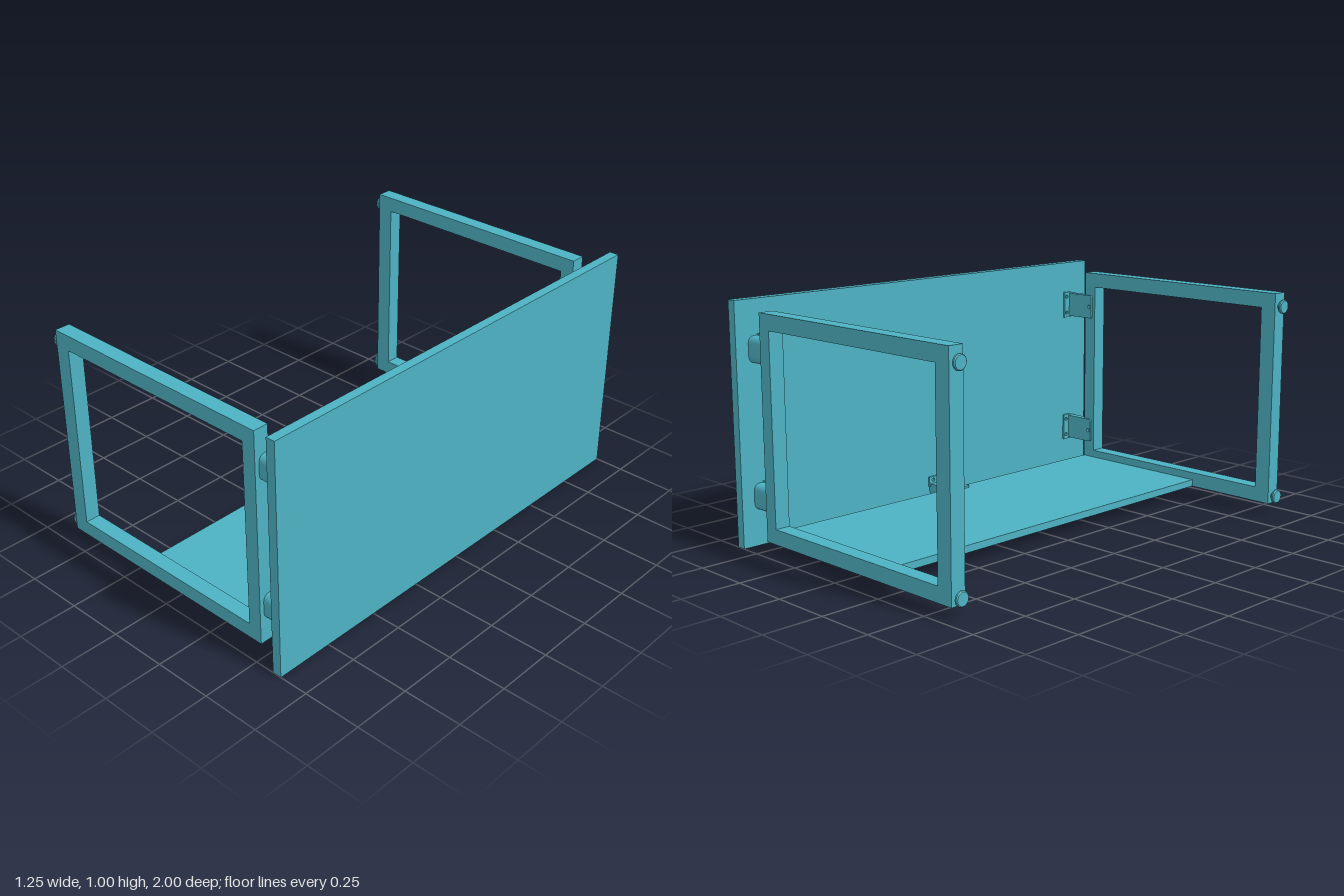
import * as THREE from 'three';

const teal = new THREE.MeshStandardMaterial({ color: 0x4db2c3 });
teal.name = 'teal';

function mesh(name, geometry, x = 0, y = 0, z = 0) {
  const m = new THREE.Mesh(geometry, teal);
  m.name = name;
  m.position.set(x, y, z);
  return m;
}

// box given by its lower and upper corners
function box(name, x0, x1, y0, y1, z0, z1) {
  return mesh(name, new THREE.BoxGeometry(x1 - x0, y1 - y0, z1 - z0),
    (x0 + x1) / 2, (y0 + y1) / 2, (z0 + z1) / 2);
}

function rectPath(path, x0, x1, y0, y1) {
  path.moveTo(x0, y0).lineTo(x1, y0).lineTo(x1, y1).lineTo(x0, y1).closePath();
  return path;
}

const extrude = (shape, depth) =>
  new THREE.ExtrudeGeometry(shape, { depth, bevelEnabled: false, curveSegments: 10 });

function roundHole(x, y, r) {
  return new THREE.Path().absarc(x, y, r, 0, Math.PI * 2, true);
}

// rectangular end frame with an open centre
function endFrame(name, z0) {
  const shape = rectPath(new THREE.Shape(), -0.6, 0.48, 0.045, 0.96);
  shape.holes.push(rectPath(new THREE.Path(), -0.53, 0.42, 0.108, 0.895));
  return mesh(name, extrude(shape, 0.065), 0, 0, z0);
}

// hinge: local y is its width, local +z points out through the held board
function hinge(name) {
  const g = new THREE.Group();
  g.name = name;
  const w = 0.054;

  // thin tongue lying on the board, with a screw hole
  const r = 0.012;
  const tongue = new THREE.Shape();
  tongue.moveTo(0.585, -w).lineTo(0.585, w).lineTo(0.435 + r, w)
    .quadraticCurveTo(0.435, w, 0.435, w - r).lineTo(0.435, -w + r)
    .quadraticCurveTo(0.435, -w, 0.435 + r, -w);
  tongue.holes.push(roundHole(0.448, 0, 0.009));
  g.add(mesh('hingeTongue', extrude(tongue, 0.009), 0, 0, -0.009));

  // rounded body in the gap between board and panel
  const body = new THREE.Shape();
  body.moveTo(-w, 0).lineTo(-w, 0.018)
    .bezierCurveTo(-w, 0.036, -w + 0.012, 0.047, -w + 0.032, 0.047)
    .lineTo(w - 0.032, 0.047)
    .bezierCurveTo(w - 0.012, 0.047, w, 0.036, w, 0.018).lineTo(w, 0);
  const bodyGeometry = extrude(body, 0.104);
  // shape x -> local y, shape y -> local z, depth -> local x
  bodyGeometry.applyMatrix4(new THREE.Matrix4().set(
    0, 0, 1, 0.481, 1, 0, 0, 0, 0, 1, 0, 0, 0, 0, 0, 1));
  g.add(mesh('hingeBody', bodyGeometry));

  // flange fixed to the panel, with two screw holes
  const flange = rectPath(new THREE.Shape(), -0.06, 0.06, -0.04, 0.004);
  for (const s of [-1, 1]) flange.holes.push(roundHole(s * 0.038, -0.025, 0.008));
  const flangeGeometry = extrude(flange, 0.009);
  flangeGeometry.applyMatrix4(new THREE.Matrix4().set(
    0, 0, 1, 0.576, 1, 0, 0, 0, 0, 1, 0, 0, 0, 0, 0, 1));
  g.add(mesh('hingeFlange', flangeGeometry));
  return g;
}

// round foot: stem and disc with softened rim, pointing to -x
function foot(y, z) {
  const points = [[0, 0], [0.015, 0], [0.015, 0.011], [0.026, 0.011], [0.03, 0.014],
    [0.03, 0.021], [0.026, 0.025], [0, 0.025]].map(([a, b]) => new THREE.Vector2(a, b));
  const geometry = new THREE.LatheGeometry(points, 24).toNonIndexed();
  geometry.computeVertexNormals();
  geometry.rotateZ(Math.PI / 2);
  return mesh('foot', geometry, -0.6, y, z);
}

export function createModel() {
  const model = new THREE.Group();
  model.name = 'hingedRack';

  // large side panel and bottom shelf
  model.add(box('sidePanel', 0.585, 0.625, 0, 1, -1, 1));
  model.add(box('shelf', -0.185, 0.48, 0.045, 0.075, -0.895, 0.89));

  // end frames
  model.add(endFrame('frontFrame', 0.89), endFrame('backFrame', -0.96));

  // hinges on both frames
  for (const y of [0.8, 0.204]) {
    const front = hinge('frontHinge');
    front.position.set(0, y, 0.89);
    const back = hinge('backHinge');
    back.position.set(0, y, -0.895);
    back.rotation.x = Math.PI;
    model.add(front, back);
  }

  // hinge under the shelf
  const low = hinge('shelfHinge');
  low.position.set(0, 0.075, 0.04);
  low.rotation.x = Math.PI / 2;
  model.add(low);

  // feet on the free edge of each frame
  for (const z of [0.923, -0.928]) for (const y of [0.075, 0.903]) model.add(foot(y, z));

  return model;
}
